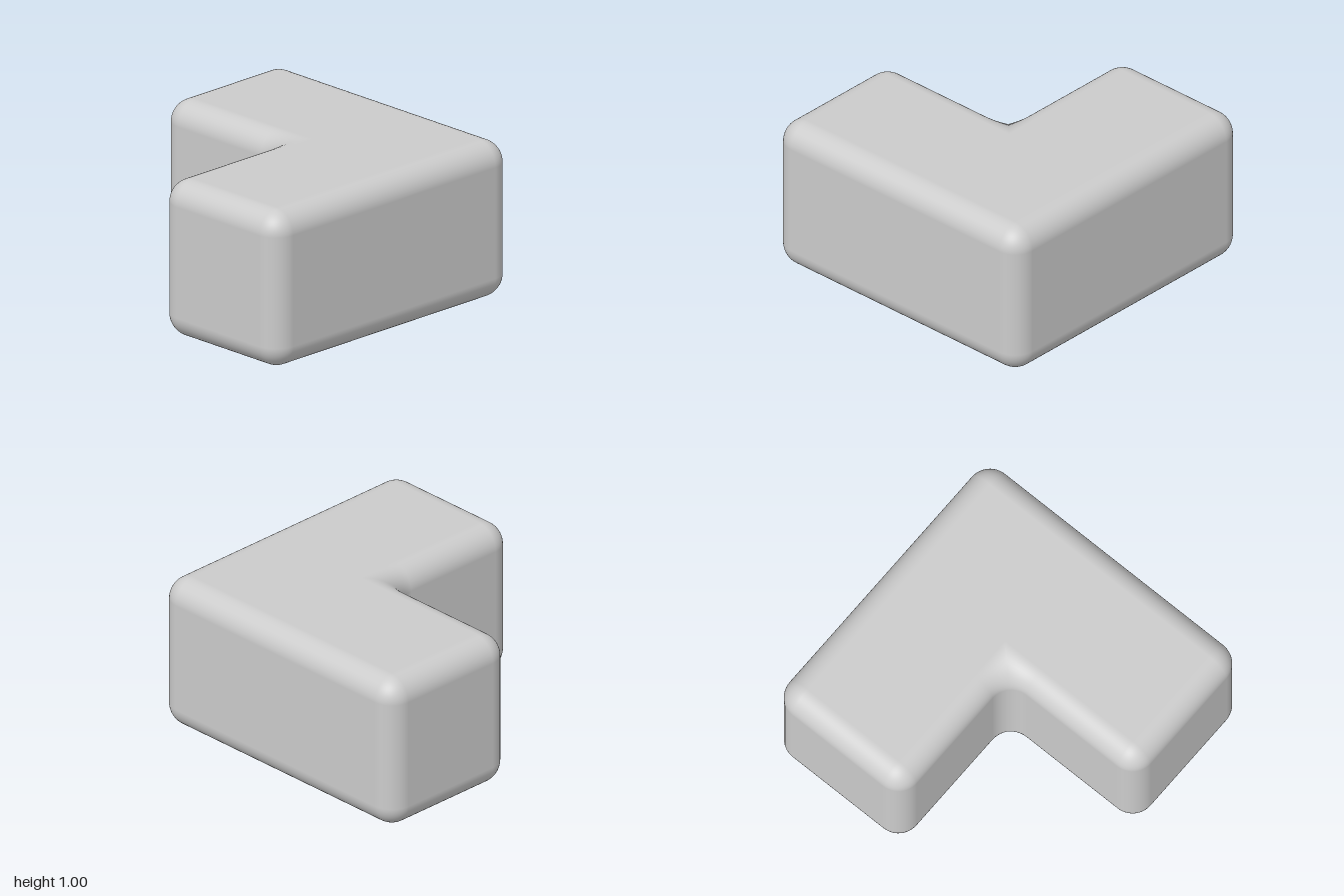
import * as THREE from 'three';

const R = 0.145; // rounding radius
const H = 1; // height
const SEG = 12; // steps per quarter turn

// Outline of the L in plan: point, inset point (edge of the flat face) and normal
function outline() {
  const corners = [
    { c: [1 - R, 1 - R], a: 0 },
    { c: [-1 + R, 1 - R], a: 1 },
    { c: [-1 + R, R], a: 2 },
    { c: [-R, -R], a: 1, inner: true },
    { c: [R, -1 + R], a: 2 },
    { c: [1 - R, -1 + R], a: 3 },
  ];
  const points = [];
  for (const { c: [cx, cz], a, inner } of corners) {
    for (let i = 0; i <= SEG; i++) {
      const t = i / SEG;
      const angle = (a + (inner ? -t : t)) * Math.PI / 2;
      const dx = Math.cos(angle), dz = Math.sin(angle);
      const s = inner ? -1 : 1;
      // The inner corner's inset runs along a square instead of meeting at one point
      const q = inner
        ? [-R + 2 * R * Math.min(1, 2 * t), R - 2 * R * Math.max(0, 2 * t - 1)]
        : [cx, cz];
      points.push({ p: [cx + R * dx, cz + R * dz], q, n: [s * dx, s * dz] });
    }
  }
  return points;
}

// Walls with rounded upper and lower edges
function shellGeometry() {
  const pts = outline(), n = pts.length;
  const position = [], normal = [], index = [];
  const rings = [];
  for (let i = 0; i <= SEG; i++) rings.push([(i / SEG - 1) * Math.PI / 2, R]);
  for (let i = 0; i <= SEG; i++) rings.push([(i / SEG) * Math.PI / 2, H - R]);

  rings.forEach(([phi, y], v) => {
    const c = Math.cos(phi), s = Math.sin(phi);
    pts.forEach(({ p, q, n: m }, u) => {
      position.push(q[0] + (p[0] - q[0]) * c, y + R * s, q[1] + (p[1] - q[1]) * c);
      normal.push(m[0] * c, s, m[1] * c);
      if (v === rings.length - 1) return;
      const a = v * n + u, b = v * n + (u + 1) % n;
      index.push(a, a + n, b, b, a + n, b + n);
    });
  });

  const geometry = new THREE.BufferGeometry();
  geometry.setAttribute('position', new THREE.Float32BufferAttribute(position, 3));
  geometry.setAttribute('normal', new THREE.Float32BufferAttribute(normal, 3));
  geometry.setIndex(index);
  return geometry;
}

// Flat L face, facing up (side = 1) or down (side = -1)
function faceGeometry(side) {
  const a = 1 - R;
  const plan = [[a, a], [-a, a], [-a, R], [R, R], [R, -a], [a, -a]];
  const shape = new THREE.Shape(plan.map(([x, z]) => new THREE.Vector2(x, -side * z)));
  return new THREE.ShapeGeometry(shape).rotateX(-side * Math.PI / 2);
}

export function createModel() {
  const group = new THREE.Group();
  group.name = 'roundedCornerBlock';
  const material = new THREE.MeshStandardMaterial({ color: 0xcccccc });
  const add = (name, geometry, y = 0) => {
    const mesh = new THREE.Mesh(geometry, material);
    mesh.name = name;
    mesh.position.y = y;
    group.add(mesh);
  };
  add('roundedWalls', shellGeometry());
  add('topFace', faceGeometry(1), H);
  add('bottomFace', faceGeometry(-1));
  return group;
}
